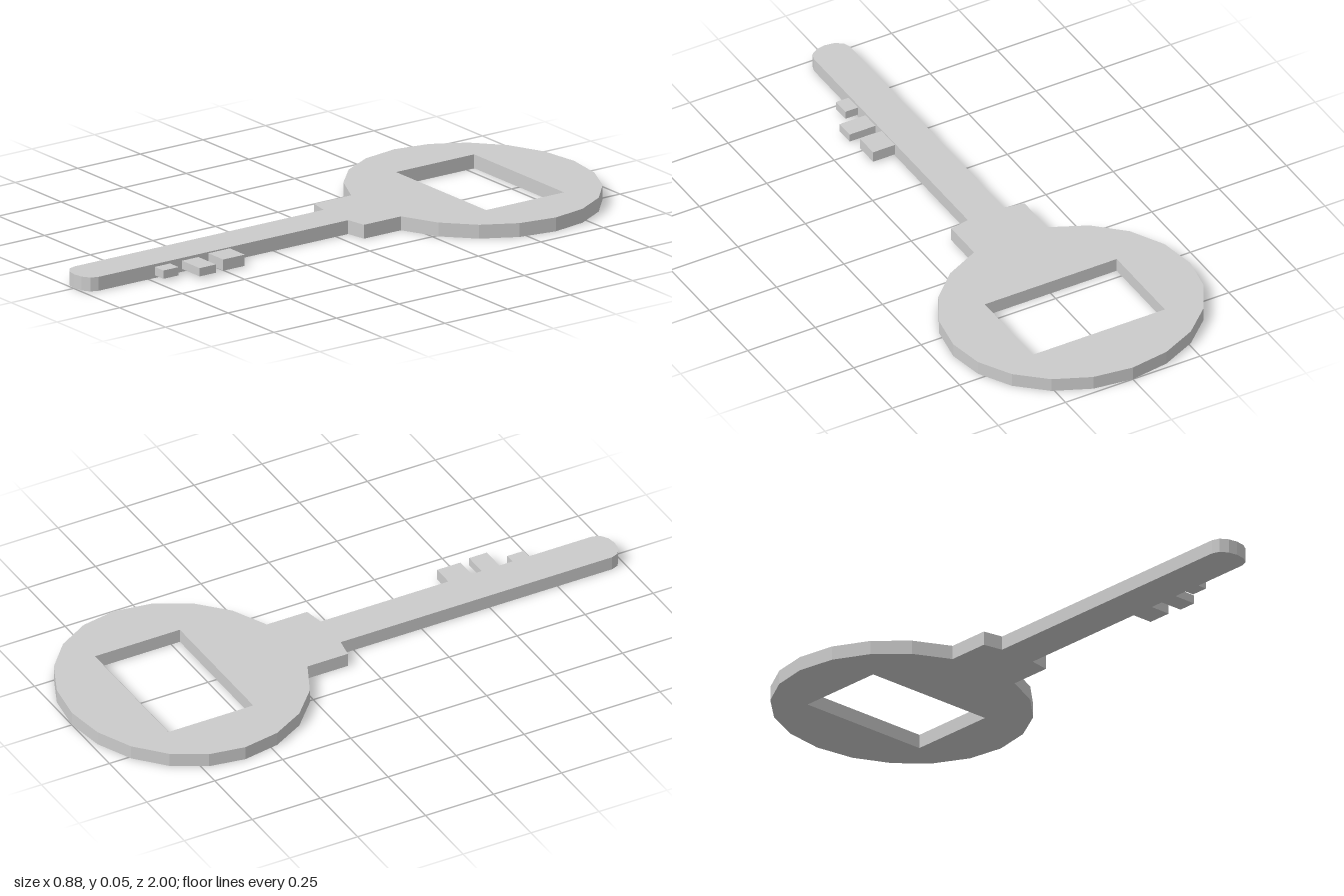
import * as THREE from 'three';

const THICKNESS = 0.047;

export function createModel() {
  const key = new THREE.Group();
  key.name = 'key';
  const material = new THREE.MeshStandardMaterial({ color: 0xcccccc, flatShading: true });

  // Right half of the outline as (x, z), from the tip of the blade to the top of the bow
  const half = [
    [0, 0.997], [0.032, 0.992], [0.058, 0.975], [0.067, 0.95], // rounded tip
    [0.067, -0.048], [0.136, -0.06], // blade and collar
  ];
  // Twenty-sided bow, slightly longer toward the collar
  for (let i = 1; i <= 10; i++) {
    const a = (i * Math.PI) / 10;
    const depth = i < 5 ? 0.416 : 0.396;
    half.push([0.44 * Math.sin(a), -0.604 + depth * Math.cos(a)]);
  }
  const mirrored = half.slice(1, -1).reverse().map(([x, z]) => [-x, z]);
  const outline = new THREE.Shape([...half, ...mirrored].map(([x, z]) => new THREE.Vector2(x, -z)));

  // Rectangular window through the bow
  const [w, z0, z1] = [0.245, -0.78, -0.468];
  outline.holes.push(new THREE.Path([
    new THREE.Vector2(-w, -z0), new THREE.Vector2(w, -z0),
    new THREE.Vector2(w, -z1), new THREE.Vector2(-w, -z1),
  ]));

  const bodyGeometry = new THREE.ExtrudeGeometry(outline, { depth: THICKNESS, bevelEnabled: false });
  bodyGeometry.rotateX(-Math.PI / 2);
  const body = new THREE.Mesh(bodyGeometry, material);
  body.name = 'bowAndBlade';
  key.add(body);

  // Teeth on the left side of the blade: outer x, start z, end z, height
  const teeth = [
    [0.148, 0.425, 0.511, 0.038],
    [0.163, 0.551, 0.616, 0.028],
    [0.114, 0.664, 0.725, 0.028],
  ];
  const inner = 0.05;
  teeth.forEach(([outer, start, end, height], i) => {
    const tooth = new THREE.Mesh(new THREE.BoxGeometry(outer - inner, height, end - start), material);
    tooth.position.set((outer + inner) / 2, THICKNESS / 2, (start + end) / 2);
    tooth.name = `tooth${i + 1}`;
    key.add(tooth);
  });

  return key;
}
